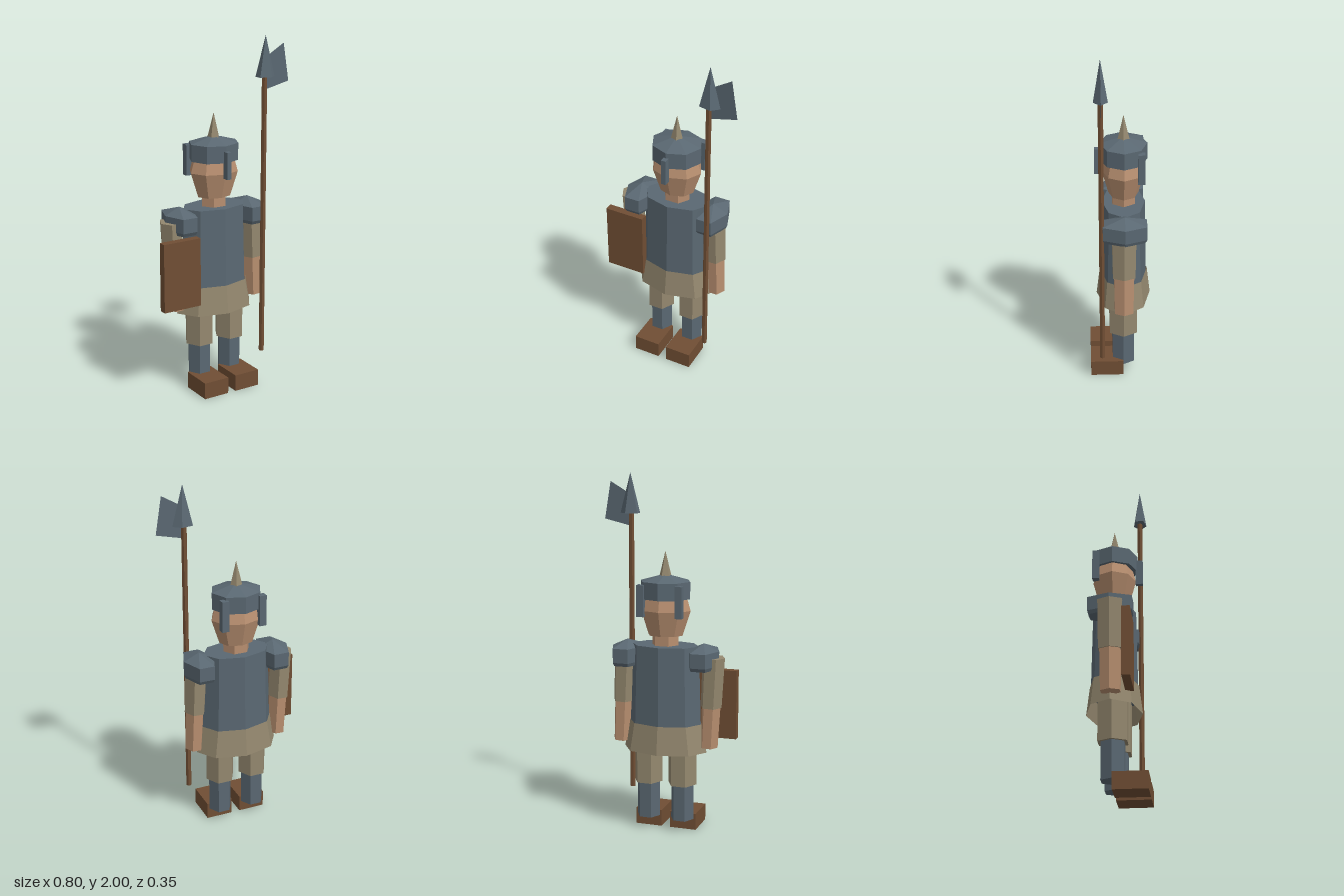
import * as THREE from 'three';

const flat = (name, color) => {
  const m = new THREE.MeshStandardMaterial({ color, flatShading: true, side: THREE.DoubleSide });
  m.name = name;
  return m;
};

export function createModel() {
  const steel = flat('steel', 0x5a6872);
  const cloth = flat('cloth', 0x94886f);
  const skin = flat('skin', 0xb88f70);
  const leather = flat('leather', 0x704e34);
  const CX = -0.01, CZ = -0.02; // body axis

  const root = new THREE.Group();
  root.name = 'guard';

  const add = (name, geo, mat, x, y, z, parent = root) => {
    const mesh = new THREE.Mesh(geo, mat);
    mesh.name = name;
    mesh.position.set(x, y, z);
    parent.add(mesh);
    return mesh;
  };
  // Faceted prism between heights y0 and y1, with a corner on +x; rz is the depth radius
  const prism = (name, mat, sides, x, z, y0, y1, rBottom, rTop, rz, open = false, parent = root) => {
    const geo = new THREE.CylinderGeometry(rTop, rBottom, y1 - y0, sides, 1, open, Math.PI / 2);
    geo.scale(1, 1, rz / Math.max(rTop, rBottom));
    return add(name, geo, mat, x, (y0 + y1) / 2, z, parent);
  };
  const box = (name, mat, x0, x1, y0, y1, z0, z1) =>
    add(name, new THREE.BoxGeometry(x1 - x0, y1 - y0, z1 - z0), mat, (x0 + x1) / 2, (y0 + y1) / 2, (z0 + z1) / 2);
  const lathe = (name, mat, sides, points, x, z, depth) => {
    const geo = new THREE.LatheGeometry(points.map(p => new THREE.Vector2(...p)), sides, Math.PI / 2);
    geo.scale(1, 1, depth);
    return add(name, geo, mat, x, 0, z);
  };

  // Body
  prism('torso', steel, 8, CX, CZ, 0.57, 1.065, 0.21, 0.195, 0.13);
  prism('skirt', cloth, 8, CX, CZ, 0.465, 0.625, 0.243, 0.213, 0.154, true);
  prism('neck', skin, 6, CX, CZ, 1.04, 1.15, 0.077, 0.077, 0.072);

  // Head and helmet
  lathe('head', skin, 8, [[0, 1.12], [0.1, 1.12], [0.146, 1.26], [0.124, 1.335], [0.1, 1.4], [0, 1.4]], CX, CZ, 0.83);
  lathe('helmet', steel, 8, [[0, 1.325], [0.143, 1.325], [0.143, 1.42], [0, 1.46]], CX, CZ, 0.91);
  prism('helmetSpike', cloth, 5, CX, CZ, 1.445, 1.585, 0.035, 0, 0.035);
  box('noseGuard', steel, CX - 0.014, CX + 0.014, 1.24, 1.39, 0.1, 0.14);
  for (const s of [-1, 1]) {
    const x = CX + s * 0.11;
    box('neckGuard', steel, x - 0.02, x + 0.02, 1.23, 1.405, -0.133, -0.095);
  }

  // Shoulder pads
  for (const s of [-1, 1]) {
    lathe('shoulderPad', steel, 6,
      [[0, 0.945], [0.08, 0.945], [0.088, 0.965], [0.088, 1.045], [0, 1.085]], CX + s * 0.223, CZ, 1.58);
  }

  // Arms: both lean slightly towards +x at the hand
  for (const [name, x, top] of [['leftArm', 0.228, 0.98], ['rightArm', -0.288, 1.01]]) {
    const arm = new THREE.Group();
    arm.name = name;
    arm.position.set(x, 1, -0.015);
    arm.rotation.z = 0.045;
    root.add(arm);
    prism('sleeve', cloth, 6, 0, 0, -0.27, top - 1, 0.06, 0.064, 0.076, false, arm);
    prism('forearm', skin, 6, 0, 0, -0.5, -0.25, 0.05, 0.054, 0.064, false, arm);
  }

  // Legs and boots
  for (const s of [-1, 1]) {
    const x = CX + s * 0.101;
    prism('thigh', cloth, 6, x, -0.017, 0.272, 0.6, 0.083, 0.083, 0.09);
    prism('shin', steel, 6, x, -0.017, 0.065, 0.3, 0.067, 0.067, 0.071);
    const b = CX + s * 0.102;
    box('boot', leather, b - 0.077, b + 0.077, 0, 0.095, -0.015, 0.173);
  }

  // Shield
  box('shield', leather, -0.4, -0.17, 0.535, 0.925, 0.055, 0.1);

  // Halberd: pole, point and flat side blade
  const hx = 0.236, hz = 0.107;
  prism('halberdPole', leather, 6, hx, hz, 0.18, 1.79, 0.016, 0.016, 0.016);
  prism('halberdPoint', steel, 5, hx + 0.005, hz, 1.775, 2, 0.06, 0, 0.04);
  const blade = new THREE.Shape([[0.245, 1.705], [0.395, 1.74], [0.36, 1.95], [0.24, 1.88]]
    .map(p => new THREE.Vector2(...p)));
  add('halberdBlade', new THREE.ShapeGeometry(blade), steel, 0, 0, hz);

  return root;
}
